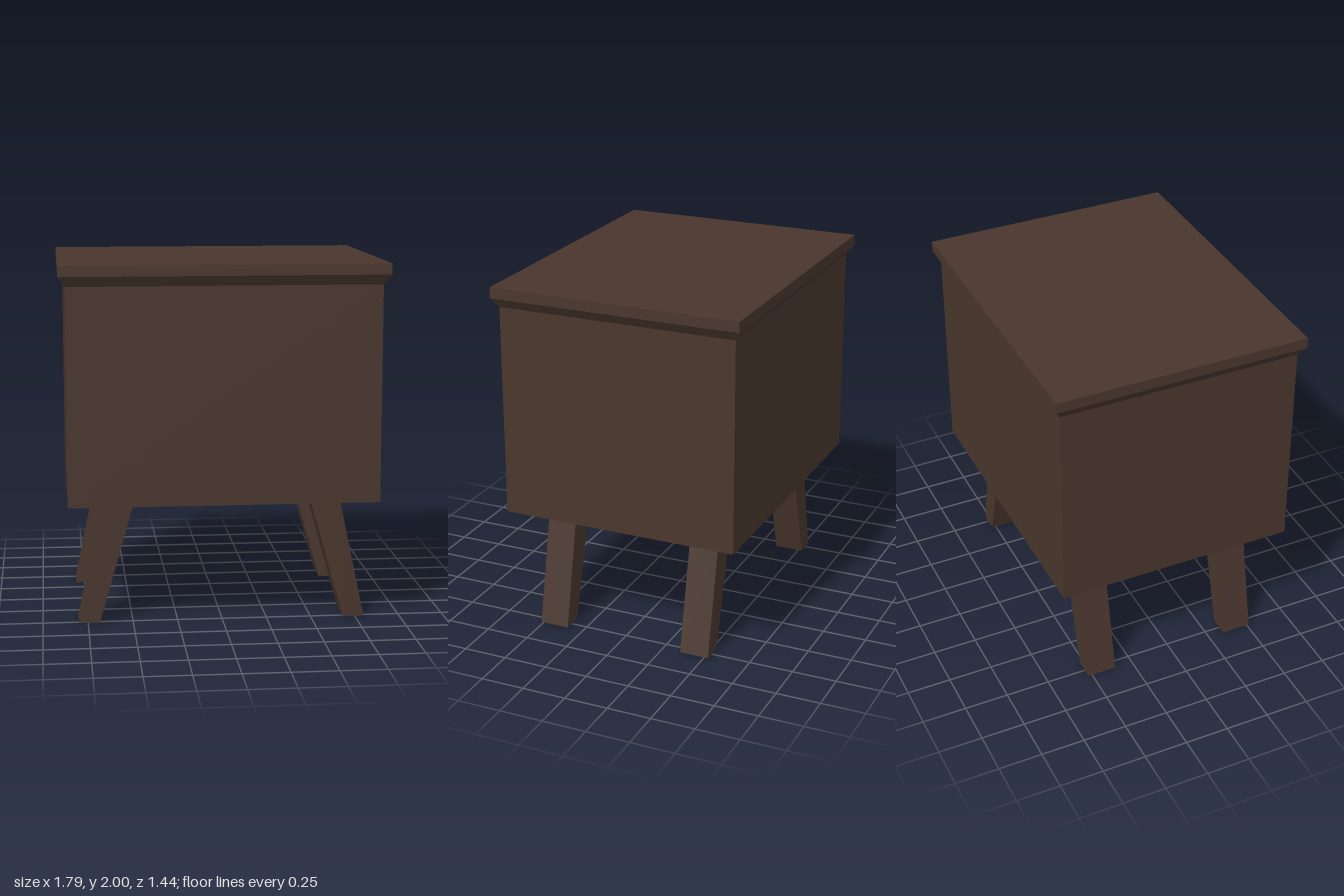
import * as THREE from 'three';

const wood = new THREE.MeshStandardMaterial({ color: 0x49362d });
wood.name = 'darkWood';

// Box whose lower and upper rectangles may differ: rect = [x0, x1, z0, z1]
function taperedBox(name, y0, y1, lower, upper) {
  const geometry = new THREE.BoxGeometry(1, 1, 1).toNonIndexed();
  const p = geometry.attributes.position;
  for (let i = 0; i < p.count; i++) {
    const top = p.getY(i) > 0;
    const r = top ? upper : lower;
    p.setXYZ(i, p.getX(i) > 0 ? r[1] : r[0], top ? y1 : y0, p.getZ(i) > 0 ? r[3] : r[2]);
  }
  geometry.computeVertexNormals();
  const mesh = new THREE.Mesh(geometry, wood);
  mesh.name = name;
  return mesh;
}

export function createModel() {
  const group = new THREE.Group();
  group.name = 'nightstand';

  // Cabinet, flared moulding and table top
  const bodyRect = [-0.855, 0.855, -0.687, 0.677];
  const topRect = [-0.893, 0.893, -0.722, 0.711];
  group.add(
    taperedBox('cabinet', 0.688, 1.885, bodyRect, bodyRect),
    taperedBox('moulding', 1.885, 1.94, bodyRect, topRect),
    taperedBox('tableTop', 1.94, 2, topRect, topRect)
  );

  // Splayed legs, narrowing towards the floor
  for (const side of [-1, 1]) {
    for (const [end, z0, z1] of [['front', 0.345, 0.513], ['back', -0.523, -0.355]]) {
      const xRange = (a, b) => (side > 0 ? [a, b, z0, z1] : [-b, -a, z0, z1]);
      const name = end + (side > 0 ? 'Left' : 'Right') + 'Leg';
      group.add(taperedBox(name, 0, 0.688, xRange(0.683, 0.801), xRange(0.488, 0.656)));
    }
  }

  // Six-sided drawer knobs, wider at the face
  const knobGeometry = new THREE.CylinderGeometry(0.043, 0.024, 0.05, 6)
    .rotateY(Math.PI / 6)
    .rotateX(Math.PI / 2)
    .toNonIndexed();
  knobGeometry.computeVertexNormals();
  [['upperKnob', 1.512], ['lowerKnob', 1.02]].forEach(([name, y]) => {
    const knob = new THREE.Mesh(knobGeometry, wood);
    knob.name = name;
    knob.position.set(0.03, y, 0.698);
    group.add(knob);
  });

  return group;
}
